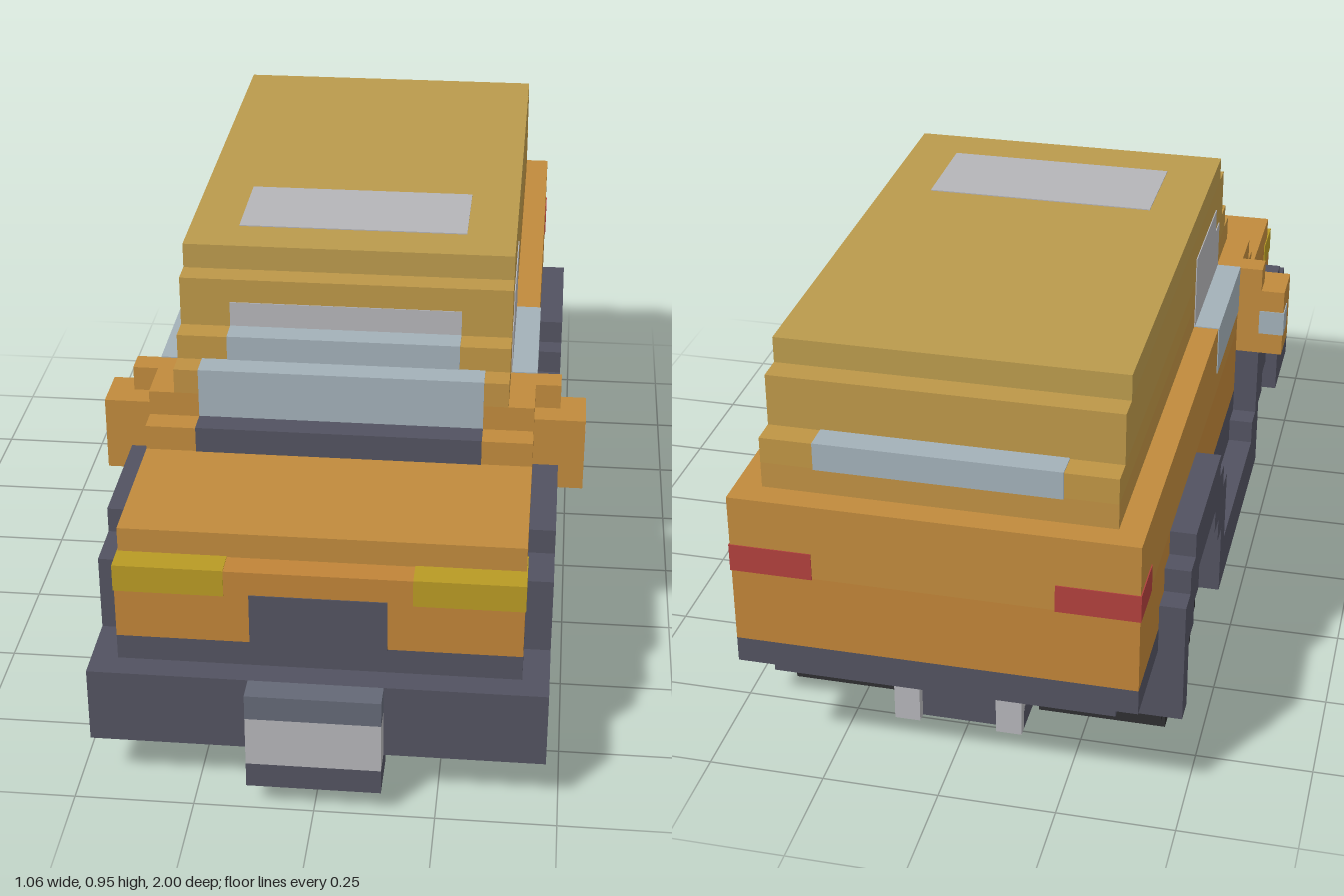
import * as THREE from 'three';

const U = 1 / 18; // one block
const E = 0.04;   // small lift for coloured panels, in blocks

const ORANGE = 0xc08a3c, DARK = 0x525260, TYRE = 0x2e2e30, RIM = 0x7c8098;
const GLASS = 0xa2b0b8, PALE = 0xb4b4b8, YELLOW = 0xb89a24, RED = 0xb0403c, SLATE = 0x646876;

const materials = {};
const mat = (color) => (materials[color] ??= new THREE.MeshStandardMaterial({ color, flatShading: true }));

export function createModel() {
  const model = new THREE.Group();
  model.name = 'blockCar';

  function add(name, color, geometry) {
    const mesh = new THREE.Mesh(geometry, mat(color));
    mesh.name = name;
    model.add(mesh);
  }
  // Box between two corners given in blocks, optionally grown by g
  function box(name, color, x0, x1, y0, y1, z0, z1, g = 0) {
    const geo = new THREE.BoxGeometry((x1 - x0 + 2 * g) * U, (y1 - y0 + 2 * g) * U, (z1 - z0 + 2 * g) * U);
    geo.translate((x0 + x1) / 2 * U, (y0 + y1) / 2 * U, (z0 + z1) / 2 * U);
    add(name, color, geo);
  }
  const panel = (name, color, ...c) => box(name, color, ...c, E);
  const pair = (make) => [1, -1].forEach((s) => make((fn, name, color, a, b, ...rest) =>
    fn(name, color, Math.min(s * a, s * b), Math.max(s * a, s * b), ...rest)));

  // Body and cabin layers: y0, y1, half width, back z, front z, colour
  [
    [6, 9, 7.5, -18, 16, 0xc08438],
    [9, 10, 7.5, -18, 15, ORANGE],
    [10, 11, 7.5, -18, 9, ORANGE],
    [11, 12, 7.5, -18, 8, ORANGE],
    [12, 13, 6.5, -17, 8, 0xbe9042],
    [13, 14, 6.5, -17, 7, 0xbe9444],
    [14, 16, 6.5, -16, 6, 0xbc9748],
    [16, 17, 6.5, -15, 5, 0xba9a4c],
  ].forEach(([y0, y1, w, z0, z1, c]) => box(y0 < 12 ? 'bodyLayer' : 'cabinLayer', c, -w, w, y0, y1, z0, z1));

  // Chassis, lower trim and front bumper
  box('lowerTrim', DARK, -7.5, 7.5, 5, 6, -18, 16);
  box('rearValance', DARK, -6.5, 6.5, 4, 5, -17, -14);
  box('chassis', DARK, -7.5, 7.5, 2, 5, -14, 17);
  box('frontPlateBase', DARK, -2.5, 2.5, 1, 2, 16, 18);
  box('frontPlate', PALE, -2.5, 2.5, 2, 4, 17, 18);
  box('frontPlateTop', SLATE, -2.5, 2.5, 4, 5, 17, 18);
  box('rearPlateBase', DARK, -2.5, 2.5, 1, 3, -14.6, -13);
  box('rearPlate', PALE, -2.5, 2.5, 3, 4, -15, -14);
  pair((p) => p(box, 'rearPlateSide', PALE, 1.5, 2.5, 1, 3, -15, -14));

  // Side skirt with stepped wheel arches, outline in z, y
  const outline = [
    [17, 2], [17, 5], [14, 5], [14, 8], [12, 8], [12, 9], [7, 9], [7, 8], [5, 8], [5, 5], [4, 5], [4, 4],
    [-4, 4], [-4, 7], [-5, 7], [-5, 8], [-6, 8], [-6, 9], [-12, 9], [-12, 8], [-13, 8], [-13, 7], [-14, 7], [-14, 2],
    [-13, 2], [-13, 5], [-12, 5], [-12, 6], [-11, 6], [-11, 7], [-7, 7], [-7, 6], [-6, 6], [-6, 5], [-5, 5], [-5, 2],
    [6, 2], [6, 5], [7, 5], [7, 6], [8, 6], [8, 7], [11, 7], [11, 6], [12, 6], [12, 5], [13, 5], [13, 2],
  ].map(([z, y]) => new THREE.Vector2(z * U, y * U));
  for (const outer of [8.5, -7.5]) {
    const geo = new THREE.ExtrudeGeometry(new THREE.Shape(outline), { depth: U, bevelEnabled: false });
    geo.rotateY(-Math.PI / 2).translate(outer * U, 0, 0);
    add('sideSkirt', DARK, geo);
  }

  pair((p) => {
    // Tyre rows: y0, y1, z0, z1 for the front, then the rear
    const outer = 7.5 + E;
    [[1, 5, 6, 13], [5, 6, 7, 12], [6, 7, 8, 11]].forEach((r) => p(box, 'frontTyre', TYRE, 2.5, outer, ...r));
    p(box, 'frontTyreTread', TYRE, 2.5, 6.5, 0, 1, 7, 13);
    p(box, 'frontTyreTread', TYRE, 6.5, outer, 0, 1, 7, 12);
    [[0, 1, -12, -6], [1, 5, -13, -5], [5, 6, -12, -6], [6, 7, -11, -7]]
      .forEach((r) => p(box, 'rearTyre', TYRE, 2.5, outer, ...r));

    // Rims
    const face = outer + E;
    p(box, 'frontRim', RIM, 7, face, 2, 5, 8, 12);
    p(box, 'frontRim', RIM, 7, face, 5, 6, 8, 11);
    p(box, 'frontRim', RIM, 7, face, 3, 4, 7, 8);
    p(box, 'rearRim', RIM, 7, face, 2, 6, -11, -7);

    // Wing mirrors
    p(box, 'wingMirror', ORANGE, 7.5, 9.5, 8, 11, 5, 7);
    p(box, 'mirrorCap', ORANGE, 7.5, 8.5, 11, 12, 5, 6);
    p(panel, 'mirrorGlass', GLASS, 8.5, 9.5, 9, 10, 5, 6);

    // Lights
    p(panel, 'headlight', YELLOW, 3.5, 7.5, 8, 9, 14, 16);
    p(panel, 'tailLight', RED, 4.5, 7.5, 9, 10, -18, -16);

    // Side windows
    p(panel, 'sideWindowLower', GLASS, 6.5, 7.5, 10, 12, -1, 5);
    p(panel, 'sideWindowUpper', PALE, 6, 6.5, 12, 14, -1, 5);
    p(panel, 'sideWindowUpper', PALE, 6, 6.5, 14, 15, -1, 4);
  });

  // Grille, stepped windscreen, rear window and sunroof
  panel('grille', DARK, -2.5, 2.5, 6, 8, 15, 16);
  panel('windscreenCowl', DARK, -5.5, 5.5, 10, 11, 8, 9);
  panel('windscreenLower', GLASS, -5.5, 5.5, 11, 13, 7, 8);
  panel('windscreenMiddle', GLASS, -4.5, 4.5, 13, 14, 6, 7);
  panel('windscreenUpper', PALE, -4.5, 4.5, 14, 15, 5, 6);
  panel('rearWindow', GLASS, -4.5, 4.5, 13, 14, -17, -16);
  panel('sunroof', PALE, -4.5, 4.5, 16, 17, -1, 3);

  return model;
}
